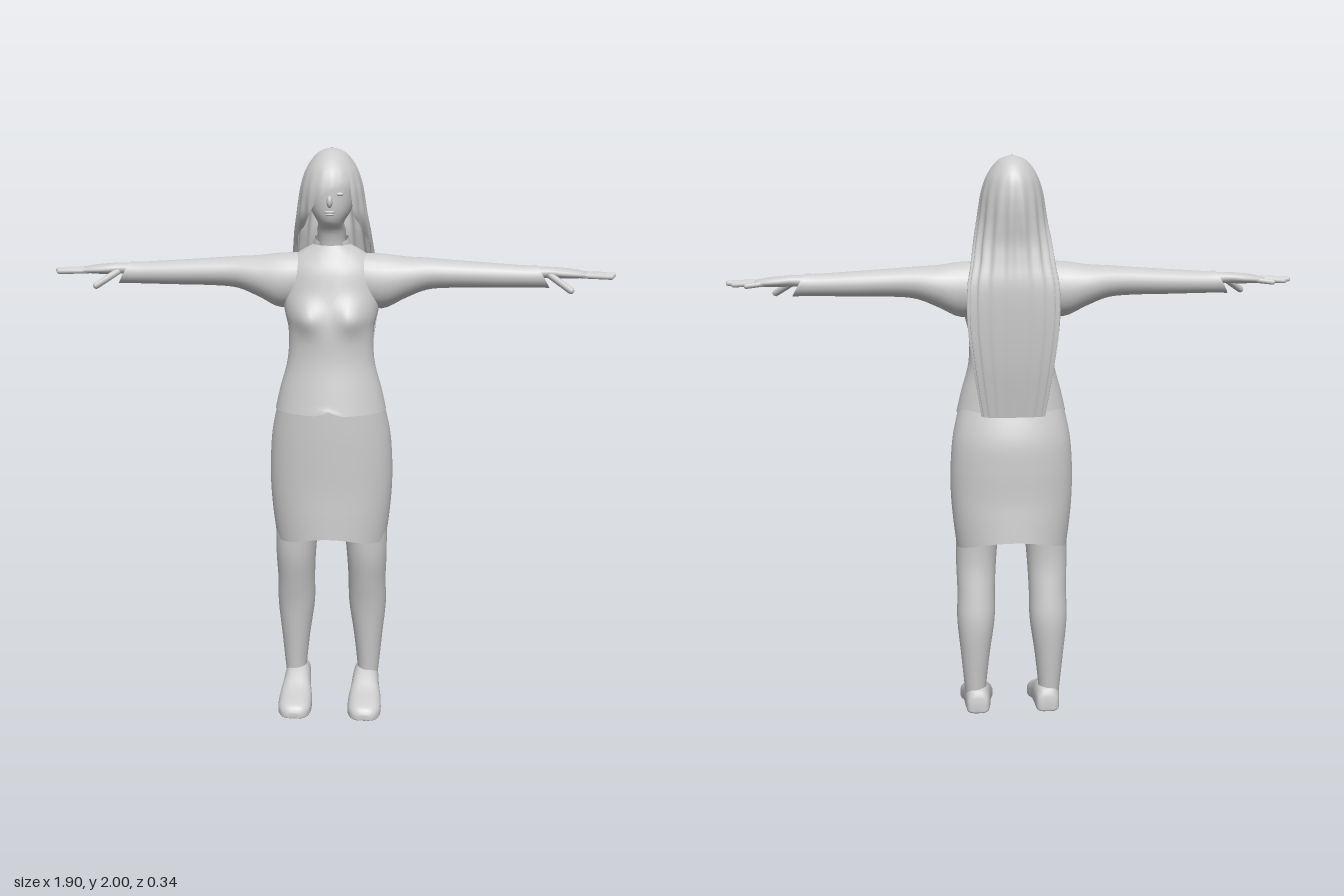
import * as THREE from 'three';

const { sin, cos, PI, exp, abs, sqrt, max, min } = Math;

// Catmull-Rom value of a table of rows at position t (0..rows-1)
function rowAt(keys, t) {
  const last = keys.length - 1;
  const i = min(Math.floor(t), last - 1), f = t - i;
  const k = (j) => keys[max(0, min(last, j))];
  return keys[0].map((_, c) => {
    const a = k(i - 1)[c], b = k(i)[c], d = k(i + 1)[c], e = k(i + 2)[c];
    return b + 0.5 * f * (d - a + f * (2 * a - 5 * b + 4 * d - e + f * (3 * (b - d) + e - a)));
  });
}

// Skin of cross-sections; place(row, u) gives a point, u runs 0..1 round the section
function loft(keys, place, { seg = 24, sub = 4, closed = true, caps = closed } = {}) {
  const pos = [], index = [], rings = (keys.length - 1) * sub;
  const cols = closed ? seg : seg + 1;
  for (let i = 0; i <= rings; i++) {
    const row = rowAt(keys, i / sub);
    for (let j = 0; j < cols; j++) pos.push(...place(row, j / seg));
  }
  for (let i = 0; i < rings; i++) {
    for (let j = 0; j < seg; j++) {
      const a = i * cols + j, b = i * cols + (j + 1) % cols;
      index.push(a, b, a + cols, b, b + cols, a + cols);
    }
  }
  if (caps) {
    for (const ring of [0, rings]) {
      const c = [0, 0, 0], start = ring * cols, centre = pos.length / 3;
      for (let j = 0; j < cols; j++) for (let n = 0; n < 3; n++) c[n] += pos[(start + j) * 3 + n] / cols;
      pos.push(...c);
      for (let j = 0; j < cols; j++) {
        const a = start + j, b = start + (j + 1) % cols;
        index.push(...(ring ? [centre, a, b] : [centre, b, a]));
      }
    }
  }
  const g = new THREE.BufferGeometry();
  g.setAttribute('position', new THREE.Float32BufferAttribute(pos, 3));
  g.setIndex(index);
  g.computeVertexNormals();
  return g;
}

// Mirrored copy across x = 0
function mirror(geo) {
  const g = geo.clone().scale(-1, 1, 1), ix = g.index.array;
  for (let i = 0; i < ix.length; i += 3) [ix[i], ix[i + 1]] = [ix[i + 1], ix[i]];
  g.computeVertexNormals();
  return g;
}

// Section placers: upright [y, cx, cz, rx, rz], sideways [x, cy, cz, ry, rz]
const upright = ([y, cx, cz, rx, rz], u) => [cx + rx * sin(u * 2 * PI), y, cz + rz * cos(u * 2 * PI)];
const sideways = ([x, cy, cz, ry, rz], u) => [x, cy + ry * cos(u * 2 * PI), cz + rz * sin(u * 2 * PI)];

// Jacket sections: y, half width, front z, back z
const TORSO = [
  [1.13, 0.19, 0.155, -0.105], [1.2, 0.174, 0.14, -0.095], [1.3, 0.148, 0.12, -0.085],
  [1.4, 0.145, 0.113, -0.1], [1.46, 0.158, 0.103, -0.11], [1.53, 0.168, 0.085, -0.118],
  [1.6, 0.16, 0.068, -0.118], [1.65, 0.12, 0.045, -0.105], [1.685, 0.062, 0.03, -0.08],
];
const bust = (x, y) => 0.028 * exp(-(((abs(x) - 0.075) / 0.045) ** 2) - ((y - 1.45) / 0.05) ** 2);
function torsoPoint([y, rx, zf, zb], u) {
  const a = u * 2 * PI, x = rx * sin(a), c = cos(a);
  const z = (zf + zb) / 2 + (zf - zb) / 2 * c + (c > 0 ? bust(x, y) : 0);
  const notch = y < 1.14 && c > 0 ? 0.015 * exp(-((x / 0.025) ** 2)) : 0;
  return [x, y + notch, z];
}
// Front surface of the jacket at x, y
function chestZ(x, y) {
  let i = TORSO.findIndex((r) => r[0] >= y);
  i = max(1, i);
  const p = TORSO[i - 1], q = TORSO[i], f = (y - p[0]) / (q[0] - p[0]);
  const [rx, zf, zb] = [1, 2, 3].map((c) => p[c] + (q[c] - p[c]) * f);
  return (zf + zb) / 2 + (zf - zb) / 2 * sqrt(max(0, 1 - (x / rx) ** 2)) + bust(x, y);
}

export function createModel() {
  const model = new THREE.Group();
  const grey = new THREE.MeshStandardMaterial({ color: 0xcccccc, side: THREE.DoubleSide });
  grey.name = 'plain grey';
  const add = (name, geo) => {
    const m = new THREE.Mesh(geo, grey);
    m.name = name;
    model.add(m);
    return m;
  };
  const pair = (name, geo) => {
    add('left ' + name, geo);
    add('right ' + name, mirror(geo));
  };
  const blob = (x, y, z, rx, ry, rz) => new THREE.SphereGeometry(1, 14, 10).scale(rx, ry, rz).translate(x, y, z);

  // Jacket body, collar and lapels
  add('jacket', loft(TORSO, torsoPoint, { seg: 48, sub: 5, caps: false }));
  add('collar', loft([[1.645, 0.085, -0.04, 0.075], [1.675, 0.066, -0.03, 0.062], [1.71, 0.056, -0.026, 0.054]],
    ([y, rx, cz, rz], u) => {
      const a = 0.75 + u * (2 * PI - 1.5);
      return [rx * sin(a), y - 0.02 * max(0, cos(a)), cz + rz * cos(a)];
    }, { closed: false }));
  pair('lapel', loft([[1.49, 0, 0.004], [1.55, 0.012, 0.036], [1.62, 0.026, 0.058], [1.68, 0.035, 0.06]],
    ([y, x0, x1], u) => {
      const x = x0 + (x1 - x0) * u;
      return [x, y, chestZ(x, y) + 0.006];
    }, { seg: 5, closed: false }));

  // Skirt with a raised hem at front and back
  add('skirt', loft([
    [0.65, 0.195, 0.142, -0.158], [0.75, 0.207, 0.139, -0.15], [0.85, 0.214, 0.135, -0.142],
    [0.95, 0.213, 0.135, -0.14], [1.05, 0.204, 0.135, -0.132], [1.15, 0.182, 0.133, -0.1],
  ], ([y, rx, zf, zb], u) => {
    const a = u * 2 * PI, c = cos(a), w = max(0, (0.82 - y) / 0.17);
    return [rx * sin(a), y + w * (c > 0 ? 0.035 * c ** 4 : 0.05 * c * c), (zf + zb) / 2 + (zf - zb) / 2 * c];
  }, { seg: 40, caps: false }));

  // Sleeves, cut at a slant at the wrist
  pair('sleeve', loft([
    [0.08, 1.57, -0.03, 0.085, 0.075], [0.17, 1.56, -0.03, 0.093, 0.08], [0.25, 1.573, -0.036, 0.07, 0.073],
    [0.32, 1.585, -0.038, 0.054, 0.06], [0.4, 1.586, -0.037, 0.047, 0.052], [0.55, 1.582, -0.036, 0.041, 0.043],
    [0.66, 1.58, -0.035, 0.037, 0.037], [0.71, 1.58, -0.035, 0.038, 0.037],
  ], (row, u) => {
    const p = sideways(row, u);
    p[0] -= max(0, (p[0] - 0.6) / 0.11) * 0.022 * cos(u * 2 * PI);
    return p;
  }, { caps: false }));

  // Hands
  pair('palm', loft([
    [0.62, 1.588, -0.035, 0.024, 0.025], [0.72, 1.594, -0.035, 0.019, 0.026], [0.77, 1.592, -0.035, 0.018, 0.037],
    [0.82, 1.59, -0.036, 0.014, 0.042], [0.85, 1.588, -0.037, 0.009, 0.039],
  ], sideways, { seg: 16 }));
  const fingers = {
    'little finger': [[0.82, 1.588, -0.066], [0.875, 1.583, -0.083], 0.0085],
    'ring finger': [[0.83, 1.588, -0.047], [0.92, 1.585, -0.058], 0.009],
    'middle finger': [[0.83, 1.589, -0.027], [0.94, 1.587, -0.031], 0.0095],
    'index finger': [[0.83, 1.588, -0.008], [0.93, 1.585, -0.002], 0.009],
    'thumb': [[0.73, 1.587, -0.018], [0.795, 1.545, 0.037], 0.0115],
  };
  for (const [name, [a, b, r]] of Object.entries(fingers)) {
    const p = new THREE.Vector3(...a), q = new THREE.Vector3(...b), d = q.clone().sub(p);
    const g = new THREE.CapsuleGeometry(r, d.length(), 4, 10);
    g.applyQuaternion(new THREE.Quaternion().setFromUnitVectors(new THREE.Vector3(0, 1, 0), d.normalize()));
    pair(name, g.translate(...p.add(q).multiplyScalar(0.5).toArray()));
  }

  // Legs
  pair('leg', loft([
    [0.08, 0.132, -0.045, 0.037, 0.045], [0.13, 0.134, -0.047, 0.04, 0.047], [0.25, 0.133, -0.047, 0.052, 0.059],
    [0.38, 0.13, -0.043, 0.067, 0.071], [0.48, 0.128, -0.025, 0.067, 0.074], [0.58, 0.127, -0.005, 0.071, 0.076],
    [0.68, 0.122, 0, 0.076, 0.08], [0.85, 0.108, 0, 0.09, 0.09],
  ], upright));

  // Shoes: z, top, bottom, half width; squared section with a flat sole
  pair('shoe', loft([
    [-0.114, 0.075, 0.045, 0.024], [-0.1, 0.12, 0.037, 0.04], [-0.04, 0.132, 0.035, 0.047],
    [0.015, 0.115, 0.026, 0.051], [0.07, 0.082, 0.009, 0.059], [0.125, 0.06, 0.001, 0.058],
    [0.155, 0.045, 0.001, 0.043], [0.167, 0.026, 0.006, 0.022],
  ], ([z, top, bottom, rx], u) => {
    const a = u * 2 * PI, c = cos(a), s = sin(a), round = (v, n) => Math.sign(v) * abs(v) ** n;
    return [0.126 - rx * round(s, 0.7) * (1 - 0.12 * c), (top + bottom) / 2 + (top - bottom) / 2 * round(c, c < 0 ? 0.35 : 0.9), z];
  }));

  // Head and neck, with small facial features
  add('head and neck', loft([
    [1.6, 0, -0.03, 0.06, 0.055], [1.68, 0, -0.02, 0.047, 0.05], [1.735, 0, -0.008, 0.048, 0.053],
    [1.763, 0, 0.02, 0.044, 0.058], [1.8, 0, 0.008, 0.066, 0.083], [1.85, 0, -0.002, 0.078, 0.095],
    [1.9, 0, -0.013, 0.08, 0.1], [1.95, 0, -0.03, 0.058, 0.075], [1.975, 0, -0.03, 0.025, 0.035],
  ], upright));
  add('nose', blob(0, 1.834, 0.092, 0.01, 0.02, 0.015));
  add('upper lip', blob(0, 1.801, 0.088, 0.019, 0.005, 0.007));
  add('lower lip', blob(0, 1.793, 0.086, 0.016, 0.005, 0.007));
  pair('eye', blob(0.031, 1.858, 0.083, 0.014, 0.006, 0.007));

  // Long hair: y, half width, centre z, half depth, start and end angle of the face opening
  add('hair', loft([
    [1.14, 0.105, -0.118, 0.018, 0.3, -0.3], [1.3, 0.13, -0.136, 0.024, 0.3, -0.3],
    [1.45, 0.148, -0.145, 0.027, 0.3, -0.3], [1.58, 0.148, -0.138, 0.036, 0.6, -0.6],
    [1.66, 0.135, -0.1, 0.06, 1.2, -1.15], [1.72, 0.127, -0.065, 0.087, 1.05, -1],
    [1.78, 0.117, -0.035, 0.12, 0.75, -0.65], [1.83, 0.11, -0.027, 0.13, 0.72, -0.45],
    [1.88, 0.102, -0.025, 0.129, 0.72, 0.1], [1.93, 0.086, -0.028, 0.114, 0.75, 0.72],
    [1.97, 0.06, -0.032, 0.082, 0.75, 0.75], [1.99, 0.035, -0.033, 0.048, 0.75, 0.75],
    [2.0, 0.002, -0.033, 0.003, 0.75, 0.75],
  ], ([y, rx, cz, rz, start, end], u) => {
    const a = start + u * (2 * PI + end - start);
    const wave = 1 + (y < 1.75 ? 0.035 : 0.035 * max(0, (1.95 - y) / 0.2)) * sin(17 * a);
    return [rx * wave * sin(a), y, cz + rz * wave * cos(a)];
  }, { seg: 96, sub: 5, closed: false }));

  return model;
}
